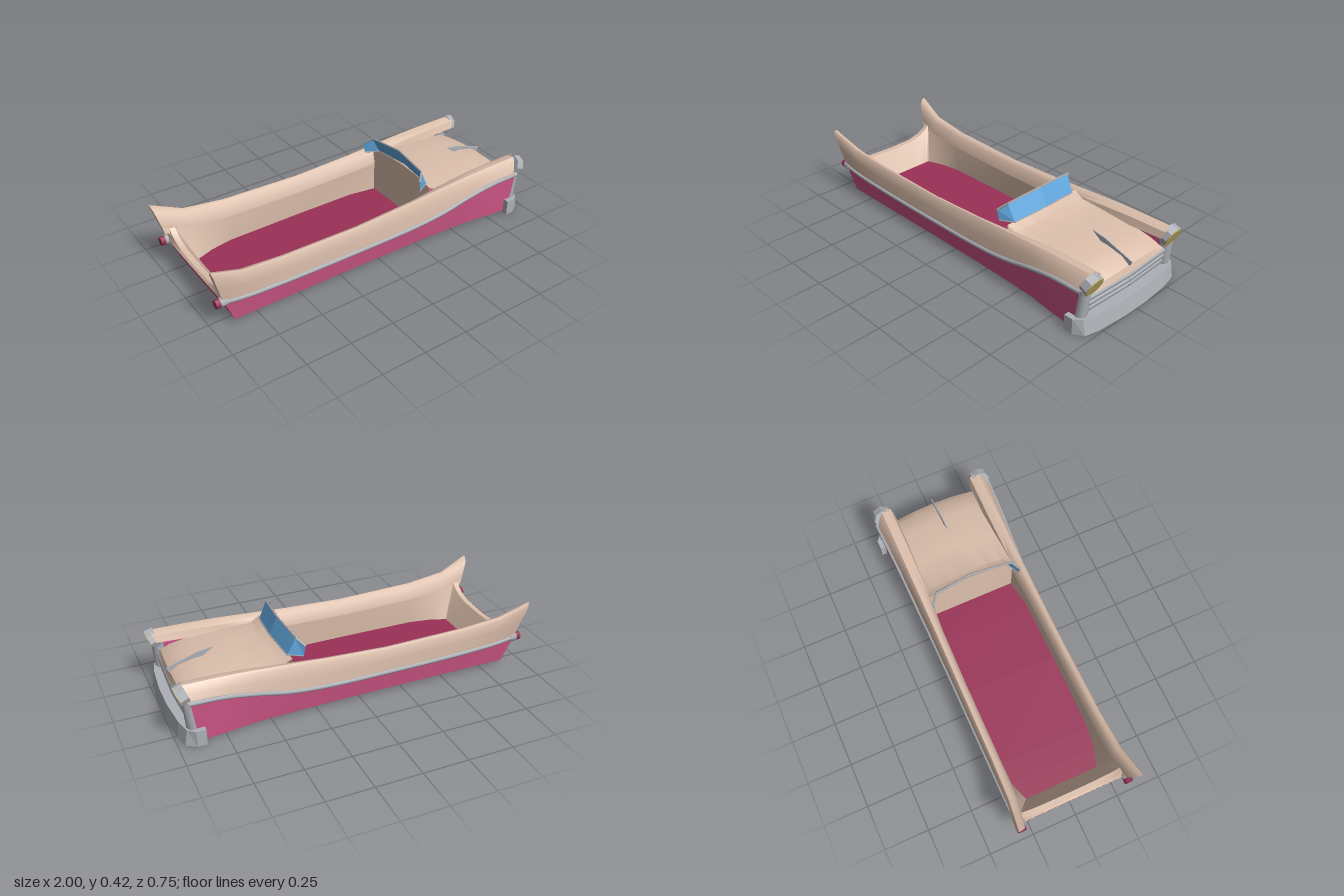
import * as THREE from 'three';
import { toCreasedNormals } from 'three/addons/utils/BufferGeometryUtils.js';

const paint = (name, color) => new THREE.MeshStandardMaterial({ name, color, side: THREE.DoubleSide });

// Surface lofted through rows of [x, y, z] points
function loft(rows, crease = 0.6) {
  const n = rows[0].length, index = [];
  for (let i = 0; i < rows.length - 1; i++) {
    for (let j = 0; j < n - 1; j++) {
      const a = i * n + j, b = a + n;
      index.push(a, b, a + 1, b, b + 1, a + 1);
    }
  }
  const g = new THREE.BufferGeometry();
  g.setAttribute('position', new THREE.Float32BufferAttribute(rows.flat(2), 3));
  g.setIndex(index);
  return toCreasedNormals(g, crease);
}

export function createModel() {
  const tan = paint('tan', 0xdcbfac), pink = paint('pink', 0xcb5585), maroon = paint('maroon', 0x9a3157);
  const chrome = paint('chrome', 0xadb0b6), blue = paint('glass blue', 0x62a8de), yellow = paint('lamp yellow', 0xbbae62);
  const car = new THREE.Group();
  car.name = 'openCar';

  const add = (name, geo, mat, parent = car) => {
    const m = new THREE.Mesh(geo, mat);
    m.name = name;
    parent.add(m);
    return m;
  };
  // Straight rod between two points
  const rod = (name, a, b, r, mat, parent, sides = 6) => {
    const p = new THREE.Vector3(...a), q = new THREE.Vector3(...b);
    const m = add(name, new THREE.CylinderGeometry(r, r, p.distanceTo(q), sides).toNonIndexed(), mat, parent);
    m.position.copy(p).lerp(q, 0.5);
    m.quaternion.setFromUnitVectors(new THREE.Vector3(0, 1, 0), q.sub(p).normalize());
    return m;
  };

  // Stations: x low, x top, trim height, top height, z at trim, z at crown, z of inner edge
  const stations = [
    [-0.94, -1.0, 0.165, 0.38, 0.32, 0.342, 0.305],
    [-0.82, -0.83, 0.148, 0.31, 0.32, 0.318, 0.28],
    [-0.6, -0.6, 0.137, 0.285, 0.32, 0.308, 0.275],
    [-0.15, -0.15, 0.132, 0.275, 0.32, 0.303, 0.272],
    [0.2, 0.2, 0.137, 0.29, 0.323, 0.3, 0.266],
    [0.4, 0.4, 0.157, 0.303, 0.328, 0.3, 0.252],
    [0.6, 0.6, 0.2, 0.315, 0.334, 0.3, 0.245],
    [0.75, 0.75, 0.227, 0.32, 0.342, 0.3, 0.245],
    [0.93, 0.96, 0.238, 0.322, 0.35, 0.3, 0.247],
  ];
  const fenderRows = stations.map(([xl, xt, lo, hi, zb, zt, zi]) => {
    const p = (f, z) => [xl + (xt - xl) * f, lo + (hi - lo) * f, z];
    return [p(0, zb), p(0.5, (zb + zt) / 2 + 0.006), p(0.88, zt + 0.01), p(1, zt),
      p(0.97, (zt + zi) / 2), p(0.85, zi), p(0.4, zi - 0.013)];
  });
  const floorY = 0.04;
  const floorEdge = [[-0.82, 0.21], [-0.72, 0.245], [-0.6, 0.265], [-0.15, 0.268], [0.2, 0.265], [0.36, 0.24]];
  const sillY = [0.02, 0.02, 0.02, 0.02, 0.02, 0.02, 0.017, 0.014, 0.01];
  const sillRows = stations.map((s, i) => {
    const x = i === 0 ? -0.88 : i === 8 ? 0.91 : s[0];
    return [[x, sillY[i], s[4] - (i > 6 ? 0.005 : 0.015)], [s[0], s[2], s[4]]];
  });

  for (const s of [1, -1]) {
    const side = new THREE.Group();
    side.name = s > 0 ? 'leftSide' : 'rightSide';
    side.scale.z = s;
    car.add(side);

    // Fender with raised tail fin, closed at both ends
    add('fender', loft(fenderRows, 0.8), tan, side);
    for (const row of [fenderRows[0], fenderRows[8]]) {
      const mid = row[0].map((_, k) => row.reduce((t, p) => t + p[k], 0) / row.length);
      const loop = [...row, row[0]];
      add('fenderEnd', loft([loop, loop.map(() => mid)]), tan, side);
    }
    add('cabinWall', loft(floorEdge.map(([x, z], i) => [fenderRows[i][6], [x, floorY, z]])), tan, side);
    add('lowerSide', loft(sillRows), pink, side);

    // Chrome strip following the colour break
    const path = new THREE.CatmullRomCurve3(stations.map((q) => new THREE.Vector3(q[0], q[2], q[4])));
    add('sideTrim', new THREE.TubeGeometry(path, 40, 0.012, 6), chrome, side);

    // Tilted headlight in its chrome ring
    const lamp = new THREE.Group();
    lamp.name = 'headlight';
    lamp.position.set(0.947, 0.272, 0.3);
    lamp.rotation.z = -Math.PI / 2 - 0.4;
    side.add(lamp);
    add('lampRing', toCreasedNormals(new THREE.CylinderGeometry(0.059, 0.056, 0.044, 8), 0.3), chrome, lamp);
    add('lampLens', new THREE.CylinderGeometry(0.057, 0.057, 0.006, 8), yellow, lamp).position.y = 0.023;

    // Upright below the headlight
    const post = add('lampPost', toCreasedNormals(new THREE.CylinderGeometry(0.033, 0.033, 0.18, 8), 0.9), chrome, side);
    post.position.set(0.918, 0.155, 0.318);
    post.rotation.z = -0.08;

    // Tail lamp
    rod('tailRing', [-0.92, 0.162, 0.308], [-0.955, 0.162, 0.308], 0.026, chrome, side);
    rod('tailLamp', [-0.95, 0.162, 0.308], [-0.98, 0.162, 0.308], 0.024, maroon, side);
  }

  // Underside, cabin floor, nose and tail panels
  const across = (rows) => rows.map(([x, y, z]) => [[x, y, -z], [x, y, z]]);
  add('underside', loft(across(sillRows.map((r) => r[0]))), pink);
  add('cabinFloor', loft(across(floorEdge.map(([x, z]) => [x, floorY, z])).map((r) => r.reverse())), maroon);
  add('nosePanel', loft(across([[0.91, 0.01, 0.345], [0.925, 0.2, 0.345]])), pink);
  add('tailPanel', loft(across([[-0.88, 0.02, 0.305], [-0.94, 0.165, 0.32]])), pink);

  // Rear cabin wall and its dipped rim
  const rearRows = [];
  for (const z of [-0.3, -0.265, -0.22, -0.15, 0, 0.15, 0.22, 0.265, 0.3]) {
    const t = Math.abs(z) / 0.3;
    const y = 0.17 + 0.08 * Math.pow(t, 4);
    rearRows.push([[-0.82, floorY, z * 0.7], [-0.9, y, z * 0.98], [-0.93, y, z], [-0.94, 0.16, z]]);
  }
  add('rearWall', loft(rearRows, 0.5), tan);

  // Hood, rising at the cowl and rolling down at the nose; the cabin front wall drops behind it
  const hood = [[0.375, 0.318, 0.255], [0.43, 0.288, 0.25], [0.6, 0.287, 0.245], [0.8, 0.276, 0.245],
    [0.89, 0.256, 0.25], [0.935, 0.225, 0.265], [0.945, 0.187, 0.285]];
  const zs = [-1, -0.8, -0.45, 0, 0.45, 0.8, 1];
  add('hood', loft(hood.map(([x, y, w], i) => zs.map((t) =>
    [x - 0.015 * t * t, y - (i === 6 ? 0 : 0.016 * t * t), w * t])), 0.5), tan);
  add('cabinFront', loft([
    zs.map((t) => [0.375 - 0.015 * t * t, 0.318 - 0.016 * t * t, 0.255 * t]),
    zs.map((t) => [0.36, floorY, 0.24 * t]),
  ]), tan);

  // Hood ornament
  const fin = new THREE.Shape([[0.7, 0.318], [0.78, 0.306], [0.95, 0.25], [0.94, 0.225], [0.77, 0.27]]
    .map((p) => new THREE.Vector2(...p)));
  add('hoodOrnament', new THREE.ExtrudeGeometry(fin, { depth: 0.007, bevelEnabled: false }), chrome).position.z = -0.0035;

  // Wraparound windshield with rim
  const low = [[0.298, 0.304, 0.255], [0.373, 0.306, 0.215], [0.39, 0.318, 0]];
  const high = [[0.288, 0.362, 0.26], [0.327, 0.4, 0.223], [0.347, 0.418, 0]];
  const flip = (pts) => [...pts, ...pts.slice(0, 2).reverse().map(([x, y, z]) => [x, y, -z])];
  const lowAll = flip(low), highAll = flip(high);
  add('windshield', loft([lowAll, highAll], 0.1), blue);
  for (let i = 0; i < 4; i++) {
    rod('windshieldRim', highAll[i], highAll[i + 1], 0.007, chrome, car, 4);
    rod('windshieldBase', lowAll[i], lowAll[i + 1], 0.004, chrome, car, 4);
  }

  // Grille bars over a backing plate
  add('grilleBack', new THREE.BoxGeometry(0.02, 0.12, 0.58), chrome).position.set(0.915, 0.13, 0);
  [[0.172, 0.936], [0.139, 0.932], [0.106, 0.926]].forEach(([y, x]) => {
    for (const s of [1, -1]) rod('grilleBar', [x, y, 0], [x - 0.012, y, s * 0.29], 0.016, chrome, car, 6);
  });

  // Wraparound front bumper, leaning back slightly
  const half = [[0.86, 0.375], [0.91, 0.375], [0.965, 0.342], [0.985, 0.26], [1.0, 0.08]];
  const inner = [[0.925, 0.26], [0.9, 0.335], [0.86, 0.345]];
  const mirror = (pts) => pts.map(([x, z]) => [x, -z]).reverse();
  const outline = [...half, ...mirror(half), ...mirror(inner), ...inner];
  const bumper = new THREE.ExtrudeGeometry(new THREE.Shape(outline.map((p) => new THREE.Vector2(...p))),
    { depth: 0.087, bevelEnabled: false });
  bumper.rotateX(-Math.PI / 2);
  const bp = bumper.attributes.position;
  for (let i = 0; i < bp.count; i++) {
    if (bp.getX(i) > 0.95) bp.setX(i, bp.getX(i) - 0.18 * bp.getY(i));
  }
  bumper.computeVertexNormals();
  add('frontBumper', bumper, chrome);

  return car;
}
